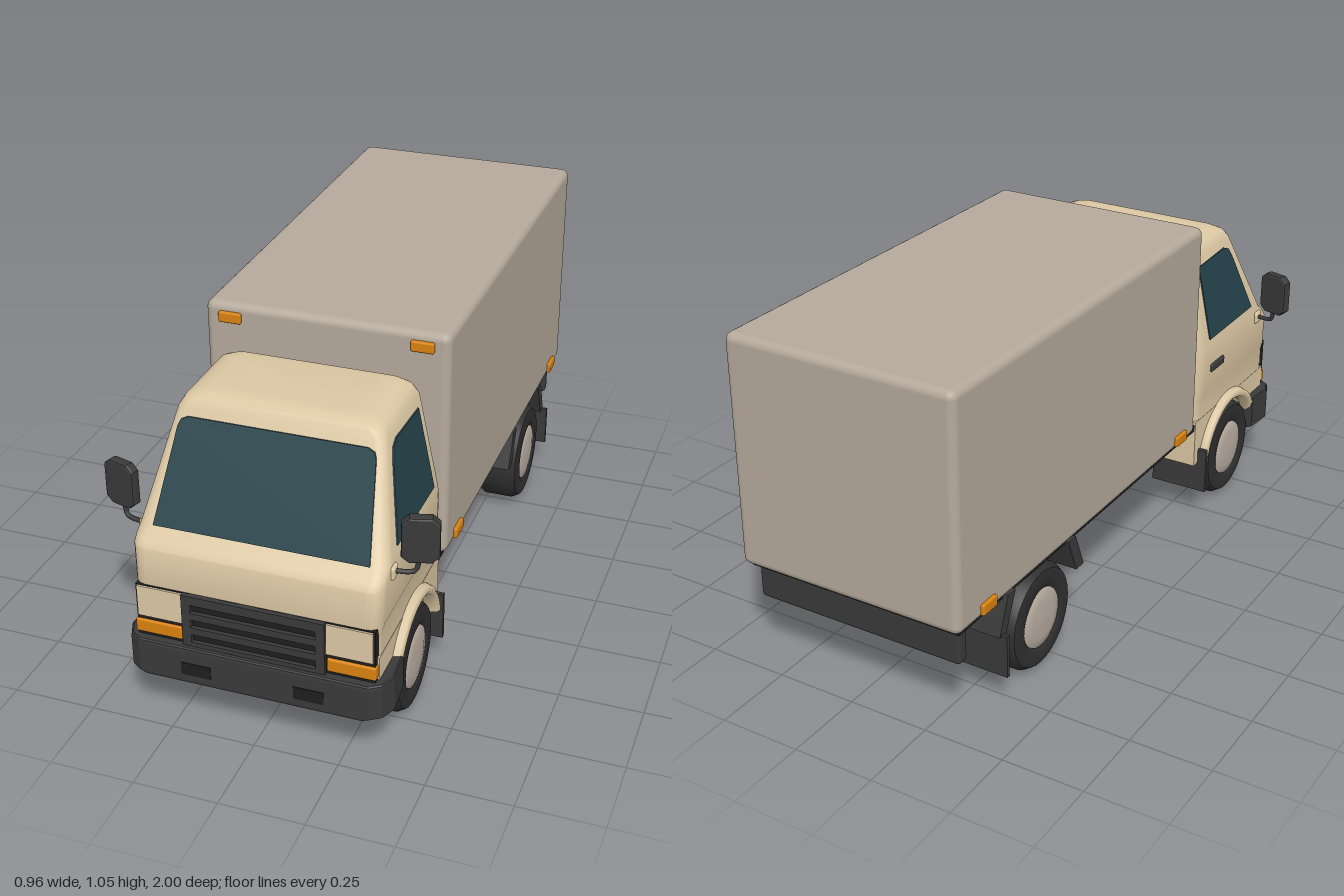
import * as THREE from 'three';
import { toCreasedNormals } from 'three/addons/utils/BufferGeometryUtils.js';
import { RoundedBoxGeometry } from 'three/addons/geometries/RoundedBoxGeometry.js';

const mat = (name, color) => Object.assign(new THREE.MeshStandardMaterial({ color }), { name });

// Box from its min and max on each axis, optionally rounded
function box(x0, x1, y0, y1, z0, z1, r = 0) {
  const s = [x1 - x0, y1 - y0, z1 - z0];
  const g = r ? new RoundedBoxGeometry(...s, 3, r) : new THREE.BoxGeometry(...s);
  return g.translate((x0 + x1) / 2, (y0 + y1) / 2, (z0 + z1) / 2);
}

const polygon = (pts) => new THREE.Shape(pts.map(([a, b]) => new THREE.Vector2(a, b)));

// Side profile (z, y) extruded from x0 to x1
function sideExtrude(shape, x0, x1) {
  const g = new THREE.ExtrudeGeometry(shape, { depth: x1 - x0, bevelEnabled: false, curveSegments: 24 });
  return g.rotateY(-Math.PI / 2).translate(x1, 0, 0);
}

// Move every vertex by a rule
function warp(g, rule) {
  const p = g.attributes.position, v = new THREE.Vector3();
  for (let i = 0; i < p.count; i++) {
    rule(v.fromBufferAttribute(p, i));
    p.setXYZ(i, v.x, v.y, v.z);
  }
  g.computeVertexNormals();
  return g;
}

// Mirrored copy across x = 0 with the winding restored
function mirror(g) {
  const m = g.index ? g.toNonIndexed() : g.clone();
  m.scale(-1, 1, 1);
  for (const a of Object.values(m.attributes)) {
    const n = a.itemSize;
    for (let i = 0; i < a.count; i += 3) {
      for (let k = 0; k < n; k++) {
        const p = (i + 1) * n + k, q = (i + 2) * n + k;
        [a.array[p], a.array[q]] = [a.array[q], a.array[p]];
      }
    }
  }
  return m;
}

// Loft through rounded rectangles: [y, halfWidth, zBack, zFront, radius]
function loft(rings) {
  const pos = [], idx = [], seg = 5, n = seg * 4;
  for (const [y, hw, zb, zf, r] of rings) {
    for (let q = 0; q < 4; q++) {
      const cx = q < 2 ? hw - r : r - hw;
      const cz = q === 0 || q === 3 ? zf - r : zb + r;
      for (let k = 0; k < seg; k++) {
        const a = (q + k / (seg - 1)) * Math.PI / 2;
        pos.push(cx + r * Math.sin(a), y, cz + r * Math.cos(a));
      }
    }
  }
  for (let i = 0; i < rings.length - 1; i++) {
    for (let k = 0; k < n; k++) {
      const a = i * n + k, b = i * n + (k + 1) % n;
      idx.push(a, b, b + n, a, b + n, a + n);
    }
  }
  const top = (rings.length - 1) * n;
  for (let k = 1; k < n - 1; k++) {
    idx.push(top, top + k, top + k + 1);
    idx.push(0, k + 1, k);
  }
  const g = new THREE.BufferGeometry();
  g.setAttribute('position', new THREE.Float32BufferAttribute(pos, 3));
  g.setIndex(idx);
  return toCreasedNormals(g, 0.6);
}

export function createModel() {
  const truck = new THREE.Group();
  truck.name = 'boxTruck';
  const cream = mat('cabCream', 0xdcc8a4), grey = mat('cargoGrey', 0xb5a99b), glass = mat('glass', 0x25424a);
  const dark = mat('darkPlastic', 0x3a3a3a), rubber = mat('tyreRubber', 0x303030), black = mat('chassisBlack', 0x1e1e1e);
  const amber = mat('amber', 0xd9820f), hubGrey = mat('hubGrey', 0xbaada1);

  const add = (name, g, m) => {
    const mesh = new THREE.Mesh(g, m);
    mesh.name = name;
    truck.add(mesh);
  };
  const pair = (name, g, m) => {
    add(name + 'Left', g, m);
    add(name + 'Right', mirror(g), m);
  };

  // Cargo box and floor
  add('cargoBox', box(-0.367, 0.367, 0.34, 1.053, -0.998, 0.4, 0.025), grey);
  add('cargoFloor', box(-0.35, 0.35, 0.328, 0.35, -0.97, 0.44), black);

  // Cab shell with leaning sides and windscreen
  add('cabShell', loft([
    [0.355, 0.353, 0.428, 0.957, 0.03],
    [0.43, 0.352, 0.428, 0.962, 0.035],
    [0.455, 0.359, 0.428, 0.966, 0.04],
    [0.565, 0.362, 0.43, 0.96, 0.04],
    [0.585, 0.361, 0.43, 0.945, 0.04],
    [0.61, 0.36, 0.432, 0.91, 0.04],
    [0.9, 0.3, 0.44, 0.757, 0.03],
    [0.925, 0.285, 0.445, 0.745, 0.035],
    [0.938, 0.26, 0.455, 0.725, 0.04],
    [0.943, 0.23, 0.475, 0.695, 0.04],
  ]), cream);
  add('cabUnderbody', box(-0.212, 0.212, 0.2, 0.4, 0.435, 0.94), black);

  // Lower cab sides with wheel arches
  const wheelZ = 0.67, wheelY = 0.167;
  const lower = polygon([[0.428, 0.2], [0.475, 0.2]]);
  lower.absarc(wheelZ, wheelY, 0.186, Math.PI - 0.2, 0.2, true);
  lower.lineTo(0.95, 0.2);
  lower.lineTo(0.955, 0.36);
  lower.lineTo(0.428, 0.36);
  pair('lowerCabSide', sideExtrude(lower, 0.205, 0.354), cream);
  const lip = new THREE.TorusGeometry(0.194, 0.018, 8, 28, Math.PI - 0.4);
  lip.rotateZ(0.2).rotateY(-Math.PI / 2).scale(1.5, 1, 1).translate(0.353, wheelY, wheelZ);
  pair('wheelArchLip', lip, cream);

  // Glass plates following the cab slopes
  const half = [[0.312, 0.613], [0.284, 0.86], [0.277, 0.876], [0.258, 0.884]];
  const screen = polygon([...half, ...half.map(([x, y]) => [-x, y]).reverse()]);
  add('windscreen', warp(new THREE.ExtrudeGeometry(screen, { depth: 0.008, bevelEnabled: false }), (v) => {
    v.z += 0.906 - (v.y - 0.61) * 0.5276;
  }), glass);
  const sideWindow = polygon([[0.5, 0.632], [0.82, 0.635], [0.737, 0.83], [0.715, 0.868], [0.685, 0.88], [0.497, 0.873]]);
  pair('sideWindow', warp(sideExtrude(sideWindow, -0.004, 0.004), (v) => {
    v.x += 0.36 - (v.y - 0.61) * 0.207;
  }), glass);

  // Door handles
  pair('doorHandle', box(0.352, 0.369, 0.514, 0.542, 0.507, 0.6, 0.006), dark);

  // Grille, headlamp panels and indicators
  add('grilleBacking', box(-0.348, 0.348, 0.285, 0.452, 0.92, 0.97), black);
  const grille = polygon([[-0.208, 0.285], [0.208, 0.285], [0.208, 0.452], [-0.208, 0.452]]);
  for (const y of [0.315, 0.363, 0.411]) {
    grille.holes.push(new THREE.Path([[-0.182, -0.013], [-0.182, 0.013], [0.182, 0.013], [0.182, -0.013]]
      .map(([x, dy]) => new THREE.Vector2(x, y + dy))));
  }
  add('grille', new THREE.ExtrudeGeometry(grille, { depth: 0.016, bevelEnabled: false }).translate(0, 0, 0.966), dark);
  pair('headlampPanel', box(0.21, 0.343, 0.353, 0.45, 0.93, 0.976), cream);
  pair('indicator', box(0.212, 0.352, 0.298, 0.34, 0.925, 0.978, 0.006), amber);

  // Front bumper wrapping round the corners
  const plan = [[0.36, 0.835], [0.375, 0.835], [0.383, 0.93], [0.365, 0.972], [0.335, 0.992]];
  const bumper = new THREE.ExtrudeGeometry(
    polygon([...plan, ...plan.map(([x, z]) => [-x, z]).reverse()].map(([x, z]) => [x, -z])),
    { depth: 0.095, bevelThickness: 0.012, bevelSize: 0.006, bevelSegments: 2 });
  bumper.rotateX(-Math.PI / 2).translate(0, 0.181, 0);
  add('frontBumper', warp(bumper, (v) => { if (v.y < 0.18) v.x *= 0.95; }), dark);
  pair('bumperInset', box(0.122, 0.21, 0.2, 0.24, 0.995, 1.0), black);

  // Wing mirrors on bent arms
  const head = new THREE.Shape();
  const octagon = [[0.03, -0.067], [0.05, -0.05], [0.05, 0.05], [0.03, 0.067]];
  head.setFromPoints([...octagon, ...octagon.map(([x, y]) => [-x, y]).reverse()].map(([x, y]) => new THREE.Vector2(x, y)));
  const mirrorHead = new THREE.ExtrudeGeometry(head,
    { depth: 0.016, bevelThickness: 0.008, bevelSize: 0.006, bevelOffset: -0.004, bevelSegments: 2 });
  mirrorHead.translate(0, 0, -0.008).rotateY(0.3).translate(0.43, 0.688, 0.847);
  pair('mirrorHead', mirrorHead, dark);
  const arm = new THREE.CatmullRomCurve3([[0.355, 0.585, 0.865], [0.4, 0.585, 0.858], [0.418, 0.59, 0.853], [0.424, 0.605, 0.85], [0.424, 0.65, 0.848]]
    .map((p) => new THREE.Vector3(...p)));
  pair('mirrorArm', new THREE.TubeGeometry(arm, 16, 0.007, 8), dark);
  pair('mirrorMount', box(0.345, 0.37, 0.562, 0.602, 0.845, 0.885, 0.008), cream);

  // Wheels
  const lathe = (pts, z) => new THREE.LatheGeometry(pts.map(([r, x]) => new THREE.Vector2(r, x)), 32)
    .rotateZ(-Math.PI / 2).translate(0, wheelY, z);
  for (const [end, z] of [['front', wheelZ], ['rear', -0.57]]) {
    pair(end + 'Tyre', toCreasedNormals(lathe([[0, 0.235], [0.06, 0.228], [0.11, 0.222], [0.148, 0.23], [0.163, 0.252],
      [0.163, 0.342], [0.15, 0.364], [0.105, 0.37], [0.092, 0.36]], z), 0.8), rubber);
    pair(end + 'Hub', lathe([[0.096, 0.35], [0.092, 0.365], [0.06, 0.371], [0, 0.373]], z), hubGrey);
  }

  // Mudguards and flaps
  pair('frontMudflap', box(0.19, 0.384, 0.097, 0.25, 0.455, 0.468), dark);
  pair('rearGuardFront', sideExtrude(polygon([[-0.373, 0.225], [-0.33, 0.225], [-0.378, 0.34], [-0.42, 0.34]]), 0.19, 0.365), dark);
  pair('rearGuardBack', sideExtrude(polygon([[-0.795, 0.225], [-0.76, 0.225], [-0.71, 0.34], [-0.75, 0.34]]), 0.19, 0.365), dark);
  pair('rearMudflap', box(0.19, 0.384, 0.097, 0.23, -0.787, -0.775), dark);

  // Tanks under the floor and rear underrun beam
  pair('tank', new THREE.CylinderGeometry(0.075, 0.075, 0.2, 8).rotateX(Math.PI / 2).rotateZ(Math.PI / 8)
    .scale(1, 0.68, 1).translate(0.15, 0.24, 0.04), dark);
  pair('tankBracket', box(0.12, 0.18, 0.27, 0.335, 0.0, 0.08), black);
  add('rearBeam', box(-0.34, 0.34, 0.22, 0.33, -0.957, -0.915, 0.012), dark);

  // Marker lights
  pair('roofMarker', box(0.254, 0.322, 0.996, 1.028, 0.39, 0.412, 0.005), amber);
  for (const [end, z] of [['front', 0.285], ['rear', -0.855]]) {
    pair(end + 'SideMarker', box(0.355, 0.378, 0.353, 0.387, z - 0.035, z + 0.035, 0.005), amber);
  }
  return truck;
}
